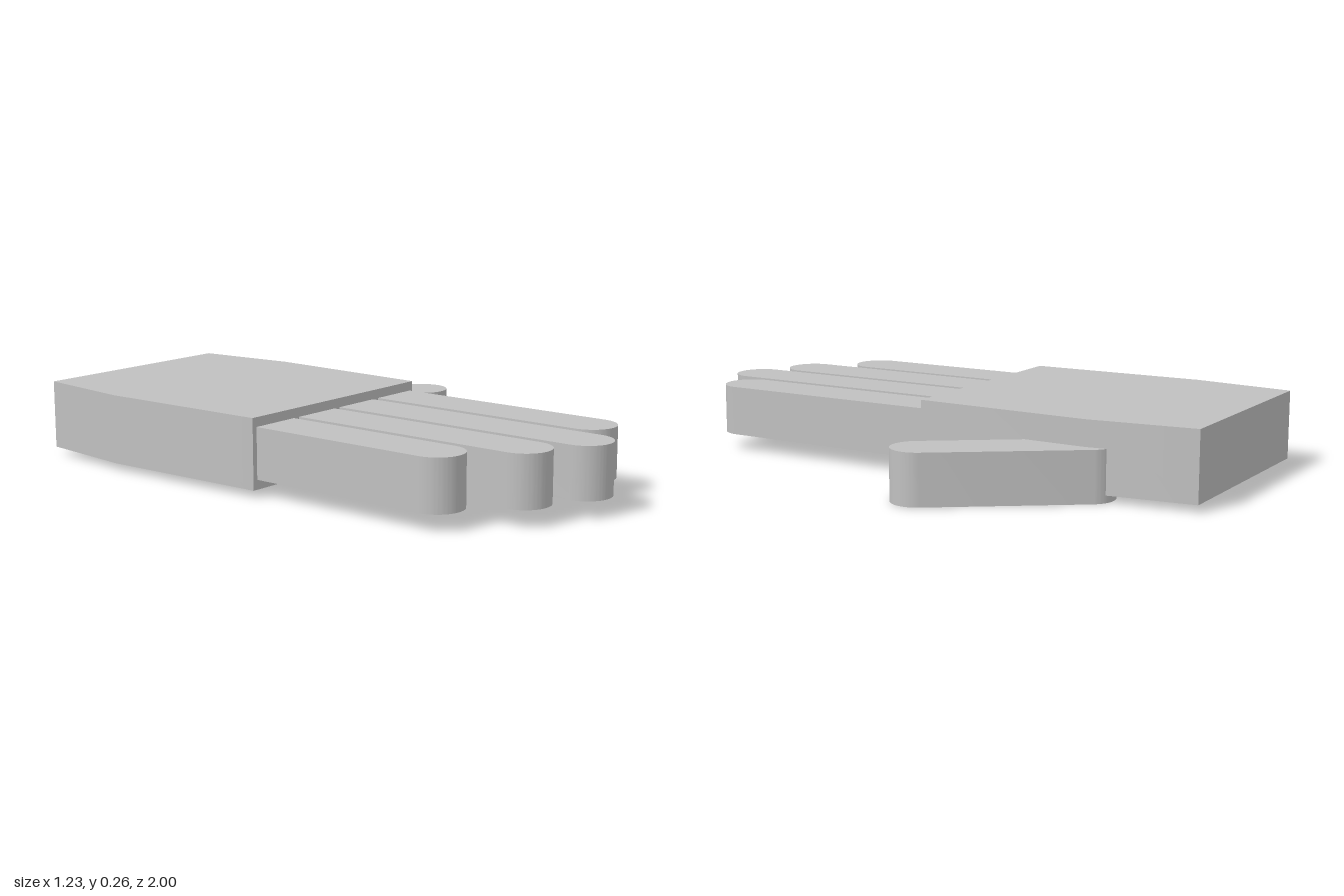
import * as THREE from 'three';
import { toCreasedNormals } from 'three/addons/utils/BufferGeometryUtils.js';

// Extrude a plan outline (x, z) between two heights
function slab(name, shape, bottom, top, material) {
  const geometry = new THREE.ExtrudeGeometry(shape, {
    depth: top - bottom, bevelEnabled: false, curveSegments: 24,
  });
  geometry.rotateX(Math.PI / 2);
  geometry.translate(0, top, 0);
  const mesh = new THREE.Mesh(toCreasedNormals(geometry, 0.5), material);
  mesh.name = name;
  return mesh;
}

// Finger outline running from a to b, with a round tip and a round or square root
function fingerShape(a, b, r, roundRoot) {
  const angle = Math.atan2(b[1] - a[1], b[0] - a[0]);
  const nx = -Math.sin(angle) * r, ny = Math.cos(angle) * r;
  const shape = new THREE.Shape();
  shape.moveTo(a[0] - nx, a[1] - ny);
  shape.lineTo(b[0] - nx, b[1] - ny);
  shape.absarc(b[0], b[1], r, angle - Math.PI / 2, angle + Math.PI / 2, false);
  shape.lineTo(a[0] + nx, a[1] + ny);
  if (roundRoot) shape.absarc(a[0], a[1], r, angle + Math.PI / 2, angle + Math.PI * 1.5, false);
  shape.closePath();
  return shape;
}

export function createModel() {
  const hand = new THREE.Group();
  hand.name = 'hand';
  const grey = new THREE.MeshStandardMaterial({ color: 0xc0c0c0 });
  grey.name = 'grey';

  // Palm, widest at the thumb joint
  const outline = [[-0.575, -1], [0.21, -1], [0.252, -0.63], [0.234, -0.007], [-0.6, -0.007], [-0.617, -0.64]];
  const palm = new THREE.Shape(outline.map(([x, z]) => new THREE.Vector2(x, z)));
  hand.add(slab('palm', palm, 0.025, 0.264, grey));

  // Four fingers: centre x and tip z
  const r = 0.09;
  const fingers = {
    littleFinger: [-0.492, 0.735],
    ringFinger: [-0.286, 0.91],
    middleFinger: [-0.079, 1],
    indexFinger: [0.129, 0.888],
  };
  for (const [name, [x, tip]] of Object.entries(fingers)) {
    hand.add(slab(name, fingerShape([x, -0.03], [x, tip - r], r, false), 0.058, 0.232, grey));
  }

  // Thumb, set low and angled outward
  hand.add(slab('thumb', fingerShape([0.205, -0.62], [0.523, -0.178], r, true), 0, 0.175, grey));
  return hand;
}
